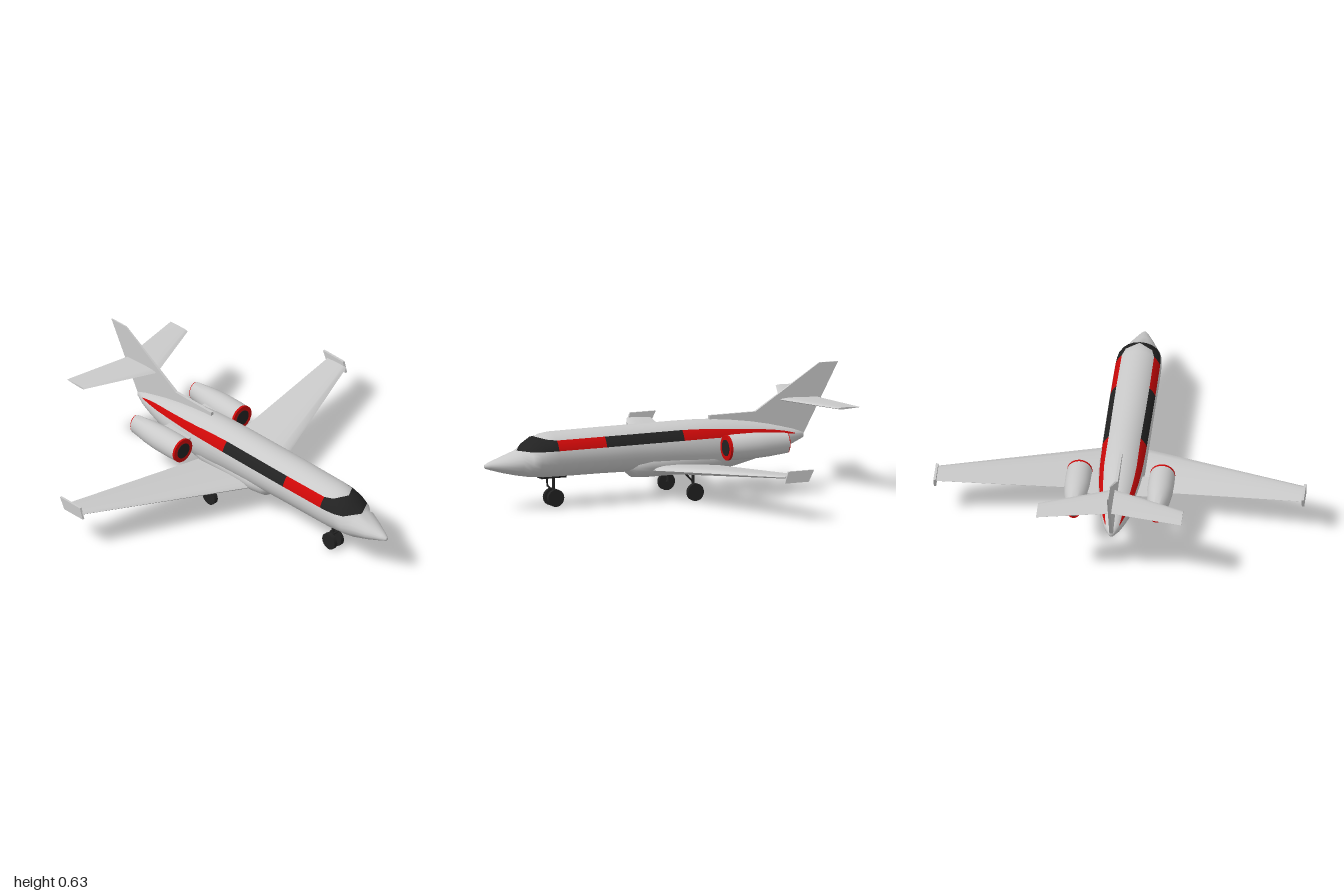
import * as THREE from 'three';
import { mergeVertices, toCreasedNormals } from 'three/addons/utils/BufferGeometryUtils.js';

const mat = (name, color) => Object.assign(new THREE.MeshStandardMaterial({ color }), { name });

// Skin a list of equal-length rings of [x, y, z]; slot(i, j) picks a material index
function loft(rings, slot, capped = true) {
  const n = rings[0].length, pos = rings.flat(2), faces = [[], [], []];
  for (let i = 0; i < rings.length - 1; i++) {
    for (let j = 0; j < n; j++) {
      const k = (j + 1) % n, a = i * n + j, b = i * n + k, c = b + n, d = a + n;
      faces[slot ? slot(i, j) : 0].push(a, d, b, b, d, c);
    }
  }
  if (capped) {
    const last = (rings.length - 1) * n;
    for (let j = 1; j < n - 1; j++) faces[0].push(0, j, j + 1, last, last + j + 1, last + j);
  }
  const g = new THREE.BufferGeometry();
  g.setAttribute('position', new THREE.Float32BufferAttribute(pos, 3));
  g.setIndex(faces.flat());
  if (slot) {
    let start = 0;
    faces.forEach((f, m) => { g.addGroup(start, f.length, m); start += f.length; });
  }
  return g;
}

// Round loft along z from stations [z, centreY, radiusX, radiusY]
function tubeLoft(stations, n = 28) {
  return loft(stations.map(([z, y, rx, ry]) => Array.from({ length: n }, (_, j) => {
    const t = (j / n) * Math.PI * 2;
    return [rx * Math.cos(t), y + ry * Math.sin(t), z];
  })));
}

// Wing section loft along x from stations [x, y, leadingZ, trailingZ, thickness]
const foil = [[0, 0], [0.04, 0.3], [0.15, 0.48], [0.35, 0.5], [0.7, 0.28], [1, 0.03],
  [1, -0.03], [0.7, -0.28], [0.35, -0.5], [0.15, -0.48], [0.04, -0.3]];
function wingLoft(half) {
  const mirrored = half.slice(1).reverse().map(([x, ...r]) => [-x, ...r]);
  return toCreasedNormals(loft([...mirrored, ...half].map(([x, y, le, te, th]) =>
    foil.map(([c, h]) => [x, y + h * th, le + (te - le) * c]))), 0.7);
}

export function createModel() {
  const model = new THREE.Group();
  model.name = 'businessJet';
  const body = mat('bodyGrey', 0xcacaca);
  const red = mat('red', 0xcc0808);
  const dark = mat('dark', 0x222222);

  const add = (name, geo, material, x = 0, y = 0, z = 0, parent = model) => {
    const m = new THREE.Mesh(geo, material);
    m.name = name;
    m.position.set(x, y, z);
    parent.add(m);
    return m;
  };
  const box = (w, h, d) => new THREE.BoxGeometry(w, h, d);
  const rod = (name, a, b, r, parent) => {
    const p = new THREE.Vector3(...a), q = new THREE.Vector3(...b);
    const m = add(name, new THREE.CylinderGeometry(r, r, p.distanceTo(q), 10), dark, 0, 0, 0, parent);
    m.position.copy(p).lerp(q, 0.5);
    m.quaternion.setFromUnitVectors(new THREE.Vector3(0, 1, 0), q.sub(p).normalize());
  };

  // Fuselage stations: [z, bottom, top, half width, band bottom, band top]
  const hull = [
    [1, 0.225, 0.245, 0.01, 0.305, 0.372],
    [0.975, 0.216, 0.256, 0.024, 0.305, 0.372],
    [0.9, 0.194, 0.28, 0.06, 0.305, 0.372],
    [0.82, 0.175, 0.305, 0.092, 0.305, 0.372],
    [0.77, 0.166, 0.343, 0.106, 0.305, 0.372],
    [0.725, 0.161, 0.372, 0.113, 0.305, 0.372],
    [0.68, 0.157, 0.383, 0.117, 0.305, 0.362],
    [0.63, 0.155, 0.389, 0.119, 0.305, 0.356],
    [0.36, 0.153, 0.391, 0.12, 0.305, 0.356],
    [0.2, 0.15, 0.391, 0.12, 0.305, 0.356],
    [-0.08, 0.136, 0.391, 0.12, 0.305, 0.356],
    [-0.2, 0.124, 0.389, 0.12, 0.305, 0.352],
    [-0.3, 0.119, 0.384, 0.118, 0.304, 0.345],
    [-0.4, 0.134, 0.373, 0.111, 0.302, 0.337],
    [-0.5, 0.156, 0.358, 0.098, 0.298, 0.327],
    [-0.6, 0.182, 0.338, 0.08, 0.291, 0.315],
    [-0.68, 0.206, 0.318, 0.06, 0.285, 0.3],
    [-0.74, 0.226, 0.302, 0.042, 0.281, 0.284],
    [-0.8, 0.25, 0.282, 0.014, 0.27, 0.272],
  ];
  // Points per side: below the band, on the band, above the band
  const split = [9, 3, 6], half = 18;
  const rings = hull.map(([z, lo, hi, w, s0, s1]) => {
    const yc = (lo + hi) / 2, h = (hi - lo) / 2;
    const angle = (y) => Math.acos(THREE.MathUtils.clamp((yc - y) / h, -1, 1));
    const marks = [0, angle(s0), angle(s1), Math.PI], side = [];
    split.forEach((n, s) => {
      for (let k = 0; k < n; k++) side.push(marks[s] + (marks[s + 1] - marks[s]) * k / n);
    });
    const all = [...side, Math.PI, ...side.slice(1).reverse().map((t) => 2 * Math.PI - t)];
    return all.map((t) => [w * Math.sin(t), yc - h * Math.cos(t), z]);
  });
  // Band colours: windscreen, red, cabin windows, red tail stripe
  const bandSlot = (i, j) => {
    const k = j < half ? j : 2 * half - 1 - j, z = (hull[i][0] + hull[i + 1][0]) / 2;
    if (k < split[0] || k >= split[0] + split[1] || z < -0.74) return 0;
    return z > 0.63 || (z < 0.36 && z > -0.08) ? 2 : 1;
  };
  const hullGeo = mergeVertices(loft(rings, bandSlot), 1e-5);
  hullGeo.computeVertexNormals();
  add('fuselage', hullGeo, [body, red, dark]);

  // Belly fairing
  add('bellyFairing', toCreasedNormals(tubeLoft([
    [0.21, 0.19, 0.06, 0.04], [0.17, 0.19, 0.095, 0.072], [0.1, 0.19, 0.108, 0.076],
    [-0.25, 0.19, 0.108, 0.076], [-0.35, 0.2, 0.09, 0.07], [-0.48, 0.22, 0.05, 0.05],
  ]), 0.8), body);

  // Main wing and winglets
  const wing = [[0, 0.153, 0.13, -0.26, 0.045], [0.12, 0.163, 0.085, -0.275, 0.042], [0.945, 0.235, -0.25, -0.382, 0.014]];
  add('wing', wingLoft(wing), body);
  const winglet = new THREE.Shape([[0.25, 0.205], [0.27, 0.265], [0.415, 0.265], [0.385, 0.205]].map((p) => new THREE.Vector2(...p)));
  // Shapes are drawn as (-z, y) and turned to stand along the length of the aircraft
  const plate = (shape, t) => new THREE.ExtrudeGeometry(shape, { depth: t, bevelEnabled: false })
    .translate(0, 0, -t / 2).rotateY(Math.PI / 2);

  // Tailplane and fin with dorsal fillet
  add('tailplane', wingLoft([[0, 0.455, -0.67, -0.88, 0.016], [0.373, 0.456, -0.825, -0.95, 0.01]]), body);
  const finShape = new THREE.Shape([[0.27, 0.36], [0.27, 0.405], [0.53, 0.405], [0.895, 0.632],
    [1, 0.63], [0.8, 0.27], [0.6, 0.27]].map((p) => new THREE.Vector2(...p)));
  const fin = plate(finShape, 0.02), fp = fin.attributes.position;
  for (let i = 0; i < fp.count; i++) fp.setX(i, fp.getX(i) * (1 - 1.8 * Math.max(0, fp.getY(i) - 0.27)));
  fin.computeVertexNormals();
  add('fin', fin, body);

  // Engine parts
  const nacelle = toCreasedNormals(tubeLoft([
    [-0.275, 0, 0.064, 0.064], [-0.32, 0, 0.067, 0.066], [-0.42, 0, 0.066, 0.066],
    [-0.5, 0, 0.058, 0.062], [-0.61, 0, 0.038, 0.052],
  ]), 0.7);
  const disc = (rx, ry, z, d) => tubeLoft([[z, 0, rx, ry], [z - d, 0, rx, ry]]);
  const flat = (g) => toCreasedNormals(g, 0.7);

  for (const s of [1, -1]) {
    const side = s > 0 ? 'left' : 'right';
    add(side + 'Winglet', plate(winglet, 0.012), body, s * 0.946);

    const engine = new THREE.Group();
    engine.name = side + 'Engine';
    engine.position.set(s * 0.213, 0.27, 0);
    model.add(engine);
    add('nacelle', nacelle, body, 0, 0, 0, engine);
    add('intakeLip', flat(disc(0.065, 0.065, -0.265, 0.012)), red, 0, 0, 0, engine);
    add('intake', flat(disc(0.042, 0.042, -0.262, 0.006)), dark, 0, 0, 0, engine);
    add('exhaustRim', flat(disc(0.037, 0.051, -0.608, 0.006)), red, 0, 0, 0, engine);
    add('exhaust', flat(disc(0.027, 0.039, -0.612, 0.005)), dark, 0, 0, 0, engine);
    add(side + 'Pylon', box(0.09, 0.022, 0.17), body, s * 0.12, 0.272, -0.395);

    // Main landing gear
    const gear = new THREE.Group();
    gear.name = side + 'MainGear';
    model.add(gear);
    rod('strut', [s * 0.15, 0.155, -0.11], [s * 0.15, 0.045, -0.11], 0.008, gear);
    rod('brace', [s * 0.15, 0.148, -0.06], [s * 0.15, 0.1, -0.105], 0.005, gear);
    rod('axle', [s * 0.145, 0.048, -0.11], [s * 0.175, 0.048, -0.11], 0.008, gear);
    add('wheel', new THREE.CylinderGeometry(0.045, 0.045, 0.022, 24).rotateZ(Math.PI / 2), dark, s * 0.173, 0.046, -0.11, gear);
    add('wheelWell', box(0.09, 0.009, 0.1), dark, s * 0.165, 0.149, -0.11).rotation.z = s * 0.087;

    // Small service panels under wing and tailplane
    add(side + 'WingPanel', box(0.045, 0.008, 0.022), dark, s * 0.78, 0.213, -0.27).rotation.z = s * 0.087;
    add(side + 'TailPanel', box(0.045, 0.008, 0.022), dark, s * 0.3, 0.449, -0.86);
  }

  // Nose landing gear with twin wheels
  const nose = new THREE.Group();
  nose.name = 'noseGear';
  model.add(nose);
  rod('strut', [0, 0.165, 0.61], [0, 0.045, 0.61], 0.008, nose);
  rod('braceUpper', [0, 0.16, 0.648], [0, 0.11, 0.645], 0.005, nose);
  rod('braceLower', [0, 0.11, 0.645], [0, 0.08, 0.612], 0.005, nose);
  rod('axle', [-0.025, 0.048, 0.61], [0.025, 0.048, 0.61], 0.008, nose);
  for (const s of [1, -1]) {
    add('wheel', new THREE.CylinderGeometry(0.045, 0.045, 0.02, 24).rotateZ(Math.PI / 2), dark, s * 0.024, 0.046, 0.61, nose);
  }
  add('noseWheelWell', box(0.06, 0.009, 0.14), dark, 0, 0.155, 0.62);

  return model;
}
